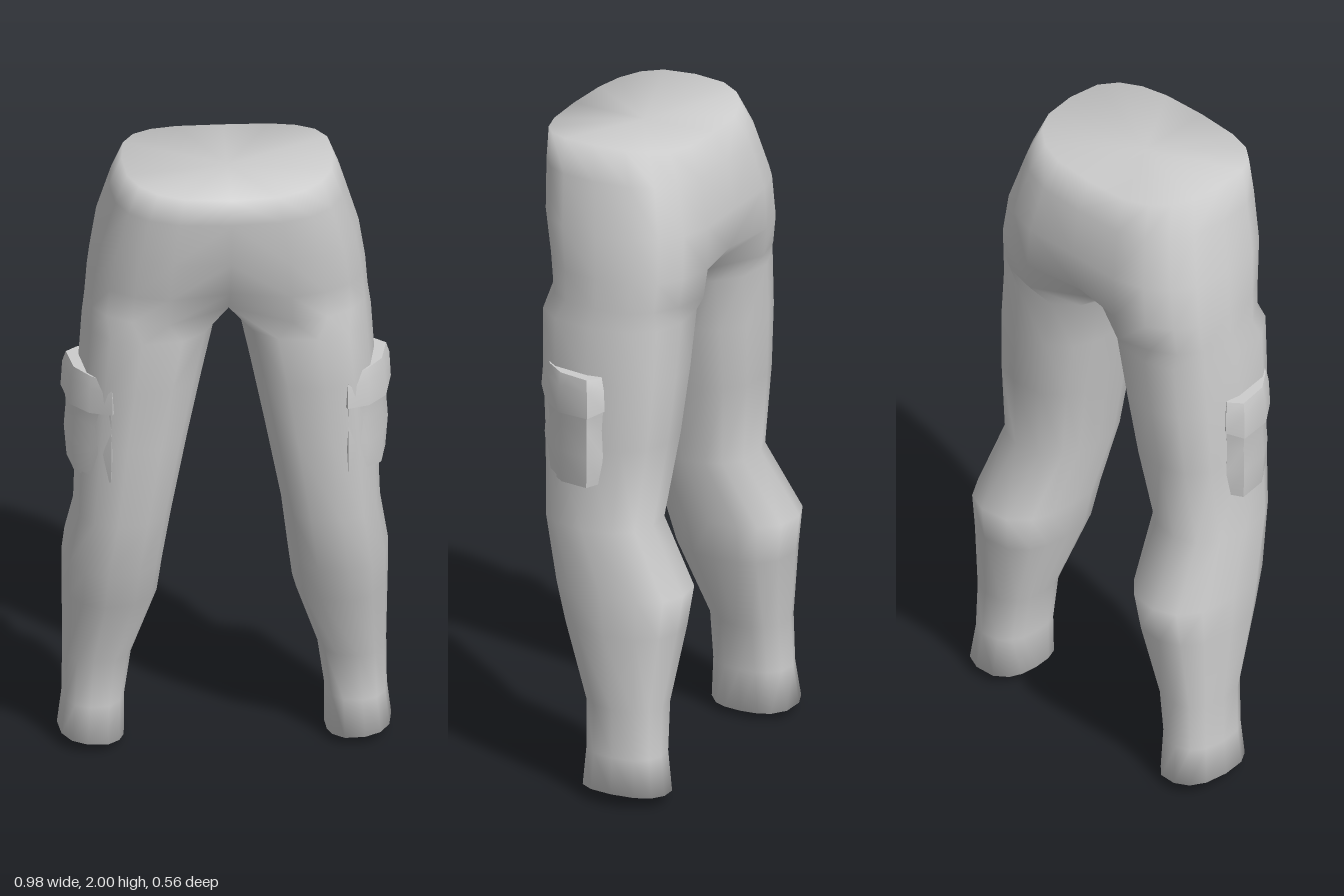
import * as THREE from 'three';
import { mergeGeometries, mergeVertices, toCreasedNormals } from 'three/addons/utils/BufferGeometryUtils.js';

const ARC = 10;   // segments of the outer arc, from front to back
const INNER = 3;  // points on the inside of the leg
const spow = (v, p) => Math.sign(v) * Math.abs(v) ** p;

// Joins rings (top to bottom, anticlockwise from above); rings before closeFrom stay open at the centre line
function loft(rings, closeFrom, top, bottom) {
  const pos = [], index = [], start = [];
  for (const ring of rings) {
    start.push(pos.length / 3);
    ring.forEach((p) => pos.push(...p));
  }
  for (let r = 0; r < rings.length - 1; r++) {
    const n = rings[r].length, closed = r >= closeFrom;
    for (let i = 0; i < (closed ? n : n - 1); i++) {
      const j = (i + 1) % n;
      const a = start[r] + i, b = start[r] + j, c = start[r + 1] + j, d = start[r + 1] + i;
      index.push(a, d, c, a, c, b);
    }
  }
  const cap = (r, centre, flip, closed) => {
    const n = rings[r].length, c = pos.length / 3;
    pos.push(...centre);
    for (let i = 0; i < (closed ? n : n - 1); i++) {
      const a = start[r] + i, b = start[r] + (i + 1) % n;
      index.push(c, flip ? b : a, flip ? a : b);
    }
  };
  cap(0, top, false, closeFrom === 0);
  cap(rings.length - 1, bottom, true, true);
  const geo = new THREE.BufferGeometry();
  geo.setAttribute('position', new THREE.Float32BufferAttribute(pos, 3));
  geo.setIndex(index);
  return geo;
}

function mirrored(geo) {
  const copy = geo.clone().scale(-1, 1, 1);
  copy.setIndex(Array.from(geo.index.array).reverse());
  return copy;
}

// Half of the hips: y, side x, front z, back z, centre front z, centre back z, rim dip
function hipRing([y, x, zf, zb, cf, cb, dip]) {
  const ring = [], cz = (zf + zb) / 2, rz = (zf - zb) / 2;
  for (let i = 0; i <= ARC; i++) {
    const a = (i / ARC) * Math.PI;
    let z = cz + rz * spow(Math.cos(a), 0.72);
    if (i === 0) z = cf;
    if (i === ARC) z = cb;
    ring.push([i % ARC === 0 ? 0 : x * spow(Math.sin(a), 0.7), y - dip * Math.cos(a) ** 2, z]);
  }
  return ring;
}

// Leg section: y, inner x, outer x, front z, back z
function legRing([y, xi, xo, zf, zb]) {
  const ring = [], cx = (xi + xo) / 2, rx = (xo - xi) / 2, cz = (zf + zb) / 2, rz = (zf - zb) / 2;
  const point = (a) => ring.push([cx + rx * spow(Math.sin(a), 0.82), y, cz + rz * spow(Math.cos(a), 0.82)]);
  for (let i = 0; i <= ARC; i++) point(Math.PI * (-0.28 + 1.56 * i / ARC));
  for (let j = 1; j <= INNER; j++) point(Math.PI * (1.28 + 0.44 * j / (INNER + 1)));
  return ring;
}

function trousersGeometry() {
  const hips = [
    [2.0, 0.31, 0.28, -0.19, 0.28, -0.188, 0.025],
    [1.9, 0.345, 0.277, -0.235, 0.277, -0.232, 0.01],
    [1.75, 0.388, 0.265, -0.272, 0.262, -0.26, 0],
    [1.62, 0.408, 0.238, -0.275, 0.2, -0.24, 0],
    [1.53, 0.415, 0.226, -0.262, 0.115, -0.15, 0],
  ].map(hipRing);
  // Crotch seam closes the last hip ring into the top of the leg
  const seam = hips[hips.length - 1];
  for (let j = 1; j <= INNER; j++) {
    seam.push([0, 1.51, THREE.MathUtils.lerp(-0.15, 0.115, j / (INNER + 1))]);
  }
  const legs = [
    [1.47, 0.034, 0.424, 0.222, -0.222],
    [1.3, 0.07, 0.435, 0.212, -0.216],
    [1.1, 0.11, 0.441, 0.194, -0.2],
    [0.84, 0.16, 0.45, 0.18, -0.165],
    [0.65, 0.182, 0.478, 0.135, -0.28],
    [0.53, 0.197, 0.478, 0.1, -0.262],
    [0.3, 0.272, 0.475, 0.014, -0.23],
    [0.15, 0.293, 0.477, 0.012, -0.232],
    [0.03, 0.293, 0.49, 0.02, -0.248],
  ].map(legRing);
  // Hem tilts slightly down towards the inside
  legs[legs.length - 1].forEach((p) => { p[1] += (p[0] - 0.39) * 0.1; });
  const half = loft([...hips, ...legs], hips.length - 1, [0, 1.97, 0.045], [0.38, 0, -0.09]);
  const geo = mergeVertices(mergeGeometries([half, mirrored(half)]), 1e-4);
  geo.computeVertexNormals();
  return geo;
}

// Pocket outline seen from above, wrapped round the front outer thigh
const OUTLINE = [[0.345, 0.197], [0.41, 0.148], [0.463, 0.078], [0.483, -0.03], [0.44, -0.065], [0.36, 0], [0.32, 0.13]];

// Rows: y, scale about the thigh, sag in the middle of the outline
function pocketGeometry(rows) {
  const rings = rows.map(([y, s, sag]) => OUTLINE.map(([x, z], i) => [
    0.37 + (x - 0.37) * s, y - sag * Math.sin(Math.PI * Math.min(i / 4, 1)), 0.05 + (z - 0.05) * s,
  ]));
  return loft(rings, 0, [0.4, rows[0][0], 0.06], [0.4, rows[rows.length - 1][0], 0.06]);
}

export function createModel() {
  const cloth = new THREE.MeshStandardMaterial({ color: 0xcccccc });
  cloth.name = 'grey cloth';
  const group = new THREE.Group();
  group.name = 'cargoTrousers';
  const add = (name, geo) => {
    const mesh = new THREE.Mesh(geo, cloth);
    mesh.name = name;
    group.add(mesh);
  };

  add('trousers', trousersGeometry());

  // Thigh pockets with overhanging flaps
  const parts = {
    Pocket: pocketGeometry([[1.24, 0.95, 0], [1.16, 0.88, 0], [1.08, 0.93, 0], [0.99, 0.86, 0.01]]),
    PocketFlap: pocketGeometry([[1.325, 0.88, 0], [1.29, 0.97, 0], [1.225, 1.01, 0.022]]),
  };
  for (const [name, geo] of Object.entries(parts)) {
    add('left' + name, toCreasedNormals(geo, 0.8));
    add('right' + name, toCreasedNormals(mirrored(geo), 0.8));
  }
  return group;
}
